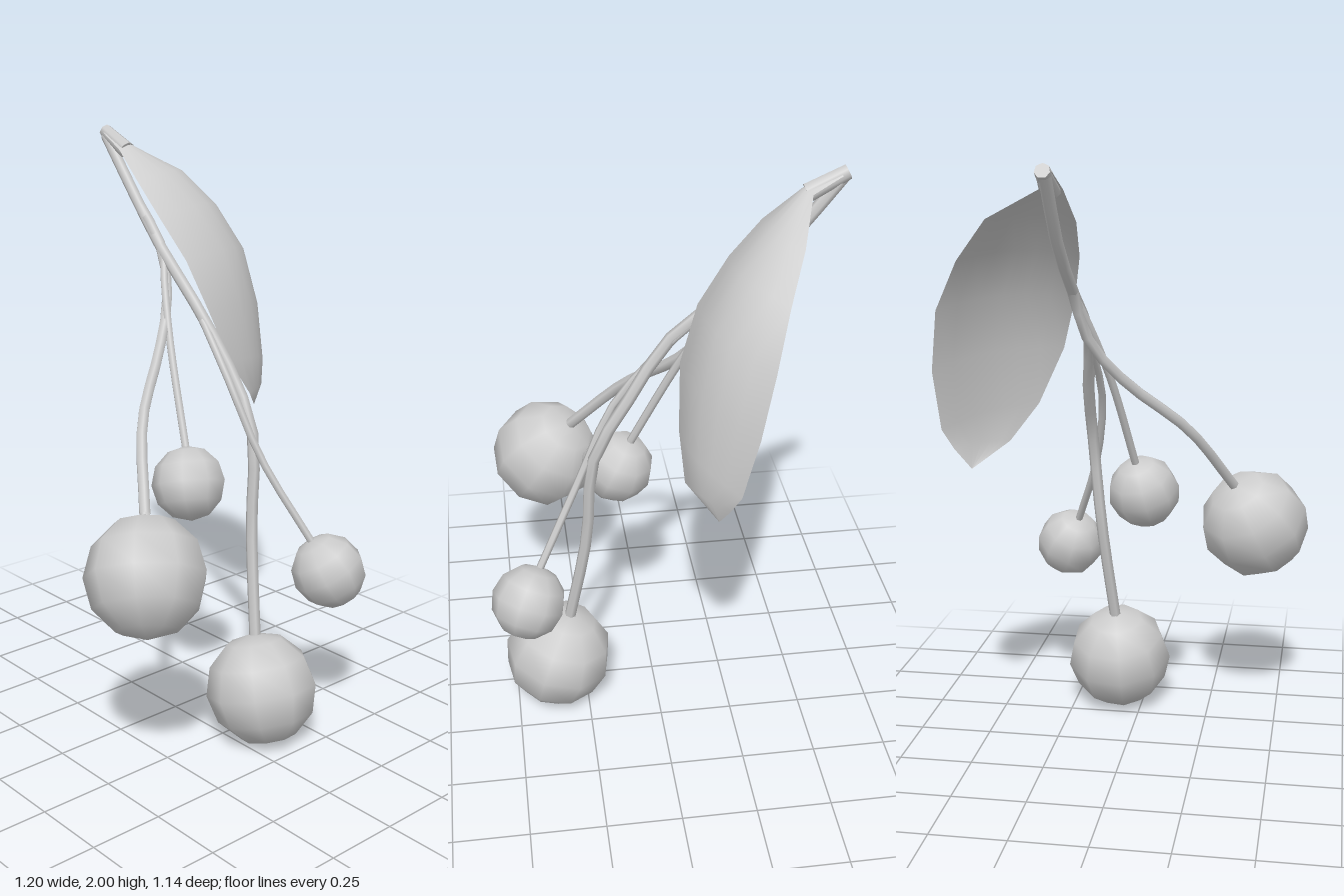
import * as THREE from 'three';

const material = new THREE.MeshStandardMaterial({ color: 0xcccccc, side: THREE.DoubleSide });
const vec = (p) => new THREE.Vector3(...p);
const UP = new THREE.Vector3(0, 1, 0);

// All stems share this start, just under the leaf stalk
const STEM_TOP = [[0.15, 1.97, -0.55], [0.15, 1.76, -0.38], [0.135, 1.61, -0.23]];

// Each fruit: centre, radius, stem radius and the rest of its stem's path
const FRUITS = [
  { name: 'rightFruit', c: [-0.41, 0.73, 0.34], r: 0.195, s: 0.019,
    path: [[0.1, 1.45, -0.16], [0, 1.31, -0.08], [-0.2, 1.12, 0.07], [-0.34, 0.89, 0.25]] },
  { name: 'lowFruit', c: [0.085, 0.19, 0.35], r: 0.19, s: 0.02,
    path: [[0.12, 1.45, -0.04], [0.15, 1.25, 0.1], [0.155, 1.05, 0.21], [0.13, 0.72, 0.24], [0.09, 0.33, 0.31]] },
  { name: 'backFruit', c: [-0.04, 0.89, 0.115], r: 0.125, s: 0.014,
    path: [[0.09, 1.48, -0.16], [0.04, 1.3, -0.07], [-0.02, 0.98, 0.08]] },
  { name: 'leftFruit', c: [0.288, 0.595, 0.45], r: 0.125, s: 0.013,
    path: [[0.125, 1.46, -0.06], [0.11, 1.22, 0.14], [0.15, 0.97, 0.26], [0.25, 0.69, 0.41]] },
];

// Leaf cross-sections from stalk to tip: left edge, right edge, bulge of the upper face
const LEAF = [
  [[0.13, 1.98, -0.54], [0.18, 1.98, -0.54], 0.012],
  [[0.12, 1.93, -0.44], [0.19, 1.93, -0.45], 0.025],
  [[0.105, 1.83, -0.32], [0.37, 1.84, -0.39], 0.055],
  [[0.115, 1.72, -0.22], [0.48, 1.71, -0.33], 0.075],
  [[0.15, 1.58, -0.12], [0.565, 1.55, -0.28], 0.08],
  [[0.2, 1.41, -0.06], [0.597, 1.35, -0.235], 0.07],
  [[0.29, 1.22, -0.045], [0.585, 1.15, -0.19], 0.05],
  [[0.39, 1.09, -0.05], [0.55, 1.08, -0.165], 0.025],
  [[0.5, 1.01, -0.14], [0.5, 1.01, -0.14], 0],
];

function makeLeaf() {
  const normal = new THREE.Vector3(0.4, 0.45, 0.8).normalize();
  const cols = 6;
  // Domed sheet; the underside is a little flatter so the leaf has body
  const face = (lift, name) => {
    const pos = [], index = [];
    LEAF.forEach(([l, r, bulge], i) => {
      for (let j = 0; j <= cols; j++) {
        const t = j / cols;
        const p = vec(l).lerp(vec(r), t).addScaledVector(normal, bulge * lift * Math.sin(Math.PI * t));
        pos.push(p.x, p.y, p.z);
        if (i === 0 || j === 0) continue;
        const d = i * (cols + 1) + j, c = d - 1, b = d - cols - 1, a = b - 1;
        index.push(a, c, b, b, c, d);
      }
    });
    const geo = new THREE.BufferGeometry();
    geo.setAttribute('position', new THREE.Float32BufferAttribute(pos, 3));
    geo.setIndex(index);
    geo.computeVertexNormals();
    const mesh = new THREE.Mesh(geo, material);
    mesh.name = name;
    return mesh;
  };
  const leaf = new THREE.Group();
  leaf.name = 'leaf';
  leaf.add(face(1, 'leafUpperFace'), face(0.65, 'leafUnderside'));
  return leaf;
}

function makeFruit({ name, c, r, s, path }) {
  const group = new THREE.Group();
  group.name = name;

  // Faceted ball with its pole turned towards the stem
  const ball = new THREE.Mesh(new THREE.SphereGeometry(r, 9, 6), material);
  ball.name = 'fruit';
  ball.position.set(...c);
  const toStem = vec(path[path.length - 1]).sub(vec(c)).normalize();
  ball.quaternion.setFromUnitVectors(UP, toStem);

  const curve = new THREE.CatmullRomCurve3([...STEM_TOP, ...path].map(vec));
  const stem = new THREE.Mesh(new THREE.TubeGeometry(curve, 16, s, 6), material);
  stem.name = 'stem';

  group.add(ball, stem);
  return group;
}

// Short capped stalk joining leaf and stems
function makeStalk() {
  const a = vec([0.155, 1.985, -0.56]), b = vec([0.155, 1.925, -0.44]);
  const dir = a.clone().sub(b);
  const stalk = new THREE.Mesh(new THREE.CylinderGeometry(0.024, 0.03, dir.length(), 7), material);
  stalk.name = 'stalk';
  stalk.position.copy(a).add(b).multiplyScalar(0.5);
  stalk.quaternion.setFromUnitVectors(UP, dir.normalize());
  return stalk;
}

export function createModel() {
  const model = new THREE.Group();
  model.name = 'fruitSprig';
  model.add(makeStalk(), makeLeaf(), ...FRUITS.map(makeFruit));
  return model;
}
